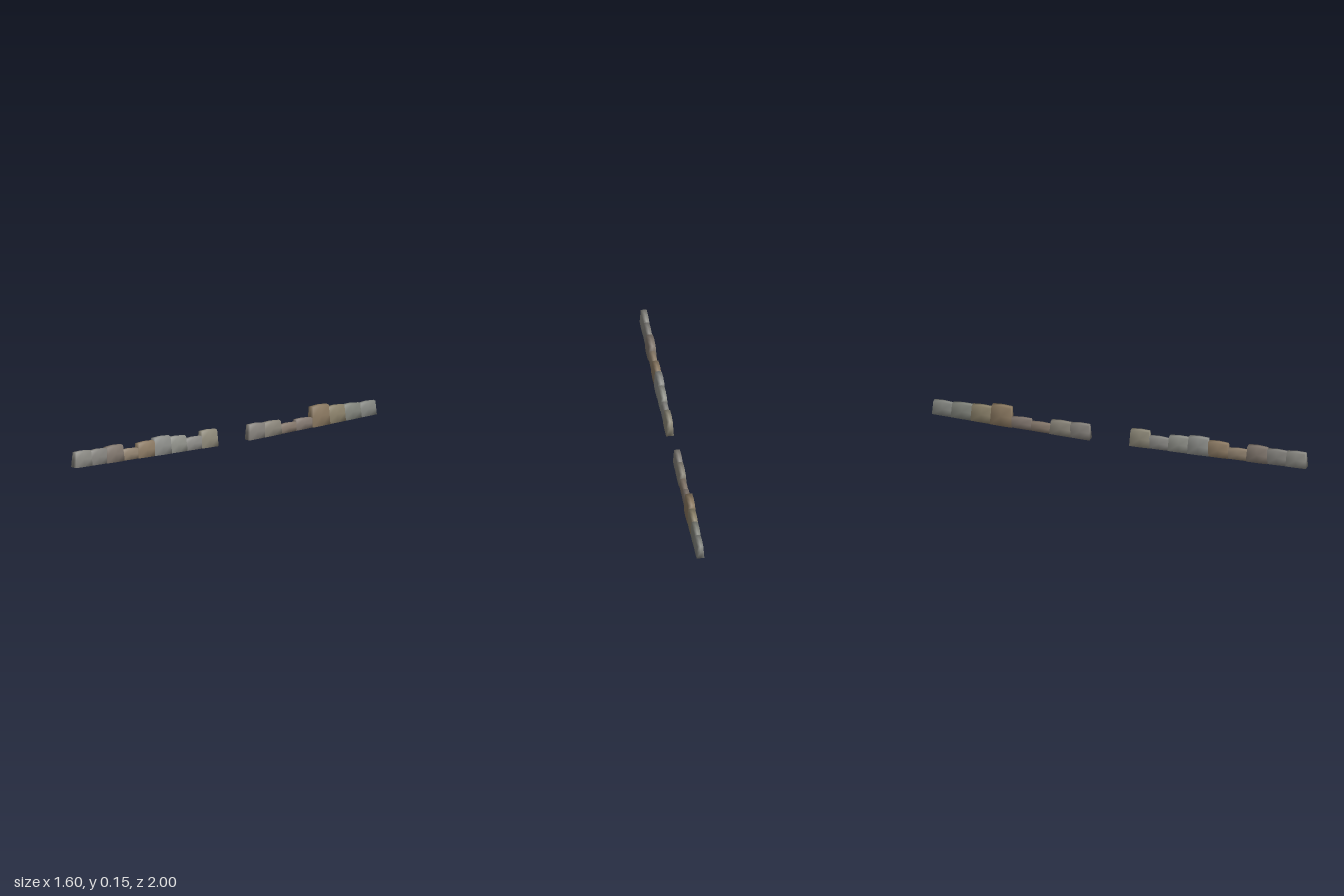
import * as THREE from 'three';
import { mergeVertices } from 'three/addons/utils/BufferGeometryUtils.js';

// Each stone: [height of its top, base width, colour]
const LONG_ROW = [
  [0.118, 0.050, 0x8c8b85], [0.112, 0.047, 0x86847f], [0.118, 0.058, 0x82786f],
  [0.080, 0.044, 0x91826f], [0.108, 0.053, 0x8f7d66], [0.123, 0.056, 0x8f908c],
  [0.108, 0.050, 0x92938c], [0.083, 0.045, 0x8c8b87], [0.114, 0.050, 0x918c7c],
];
const SHORT_ROW = [
  [0.100, 0.050, 0x87837d], [0.097, 0.052, 0x8a857a], [0.066, 0.044, 0x83766a],
  [0.081, 0.046, 0x82776f], [0.148, 0.060, 0x8c7a62], [0.128, 0.054, 0x8d836c],
  [0.123, 0.052, 0x83857d], [0.118, 0.050, 0x858782],
];

// Soft-shaded block: tapered upward, slightly bulged, following the sloping ground
function stoneGeometry(start, length, width, top, groundAt, tilt) {
  let g = new THREE.BoxGeometry(1, 1, 1, 2, 2, 2);
  g.deleteAttribute('normal');
  g.deleteAttribute('uv');
  g = mergeVertices(g);
  const p = g.attributes.position;
  for (let i = 0; i < p.count; i++) {
    const u = p.getX(i), v = p.getY(i) + 0.5, w = p.getZ(i);
    const x = start + length * (0.5 + u * (1 - 0.11 * v));
    const crown = 0.004 * v * (1 - 4 * u * u) + 0.004 * v * (1 - 4 * w * w);
    const base = groundAt(x);
    const y = base + (top - 0.004 - base) * v + crown + tilt * u * v;
    const bulge = 1 + 0.06 * (1 - 4 * u * u);
    p.setXYZ(i, x, y, w * width * (1 - 0.24 * v) * bulge);
  }
  g.computeVertexNormals();
  return g;
}

// A row of stones from a to b (plan positions), with ground heights at both ends
function stoneRow(name, stones, a, b, groundA, groundB) {
  const row = new THREE.Group();
  row.name = name;
  const total = Math.hypot(b[0] - a[0], b[1] - a[1]);
  const pitch = total / stones.length;
  const groundAt = (x) => groundA + (groundB - groundA) * THREE.MathUtils.clamp(x / total, 0, 1);
  stones.forEach(([top, width, color], i) => {
    // neighbours overlap a little, the outer ends stay flush
    const from = Math.max(0, i * pitch - 0.006);
    const to = Math.min(total, (i + 1) * pitch + 0.006);
    const tilt = 0.004 * Math.sin(i * 2.3 + 4);
    const stone = new THREE.Mesh(
      stoneGeometry(from, to - from, width, top, groundAt, tilt),
      new THREE.MeshStandardMaterial({ color })
    );
    stone.name = 'stone' + (i + 1);
    row.add(stone);
  });
  row.position.set(a[0], 0, a[1]);
  row.rotation.y = Math.atan2(a[1] - b[1], b[0] - a[0]);
  return row;
}

export function createModel() {
  const model = new THREE.Group();
  model.name = 'stoneBorder';
  // Two rows on one diagonal with a gap between them
  model.add(stoneRow('longRow', LONG_ROW, [-0.78, 0.985], [-0.04, 0.055], 0.018, 0.001));
  model.add(stoneRow('shortRow', SHORT_ROW, [0.12, -0.155], [0.78, -0.985], 0.0, 0.028));
  return model;
}
